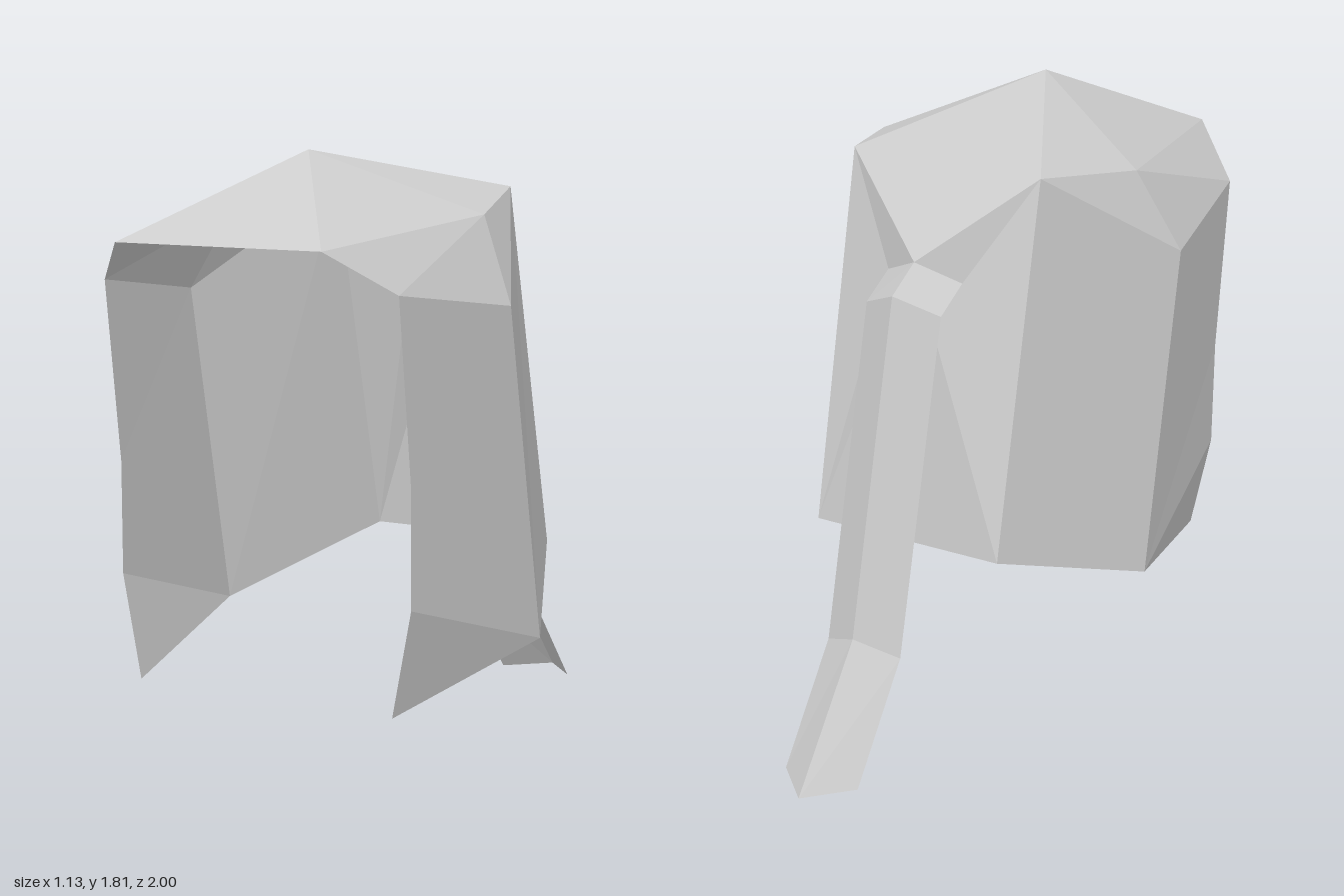
import * as THREE from 'three';

// Flat-faced surface from named points; each face is a string of point names.
function facets(points, faces, material, name) {
  const pos = [];
  for (const face of faces) {
    const p = face.split(' ').map((key) => points[key]);
    for (let i = 1; i < p.length - 1; i++) pos.push(...p[0], ...p[i], ...p[i + 1]);
  }
  const geo = new THREE.BufferGeometry();
  geo.setAttribute('position', new THREE.Float32BufferAttribute(pos, 3));
  geo.computeVertexNormals();
  const mesh = new THREE.Mesh(geo, material);
  mesh.name = name;
  return mesh;
}

// Mirrored faces: sided points get the suffix of the other side, order reversed.
const bothSides = (faces, centre) => faces.flatMap((face) => {
  const keys = face.split(' ');
  const side = (s) => keys.map((k) => (centre.includes(k) ? k : k + s));
  return [side('L').join(' '), side('R').reverse().join(' ')];
});

export function createModel() {
  const hair = new THREE.MeshStandardMaterial({ color: 0xcccccc, side: THREE.DoubleSide, flatShading: true });
  hair.name = 'hair grey';

  // Points on the centre line
  const pts = {
    crown: [0, 1.813, 0.5],
    knot: [0, 1.44, -0.313],
    knotBack: [0, 1.376, -0.438],
    bend: [0, 0.376, -0.688],
    tip: [0, 0, -1],
  };
  const centre = Object.keys(pts);

  // Points mirrored left and right
  const sided = {
    fringe: [0.313, 1.565, 1],
    temple: [0.5, 1.44, 0.813],
    upper: [0.438, 1.628, 0.25],
    ear: [0.563, 1.376, 0.313],
    back: [0.313, 1.69, -0.125],
    nape: [0.313, 0.565, -0.375],
    hem: [0.563, 0.376, 0.125],
    lock: [0.5, 0.9, 0.75],
    lockLow: [0.5, 0.565, 0.75],
    lockTip: [0.438, 0.253, 0.75],
    knot2: [0.125, 1.376, -0.25],
    tailTop: [0.125, 1.315, -0.375],
    tailBend: [0.125, 0.315, -0.625],
    tailTip: [0.125, 0, -0.875],
  };
  for (const [key, [x, y, z]] of Object.entries(sided)) {
    pts[key + 'L'] = [x, y, z];
    pts[key + 'R'] = [-x, y, z];
  }
  pts.fringeL[0] = 0.375; // the fringe sweeps slightly to its left

  const build = (name, faces, middle = []) =>
    facets(pts, [...bothSides(faces, centre), ...middle], hair, name);

  const model = new THREE.Group();
  model.name = 'hairstyle';
  model.add(
    // Faceted cap with the overhanging fringe
    build('crownAndFringe', [
      'crown upper back', 'crown fringe upper', 'fringe temple upper',
      'temple ear upper', 'upper ear back',
    ], ['crown fringeR fringeL', 'crown backL backR']),
    // Long locks that frame the face
    build('sideLocks', [
      'ear hem back', 'hem nape back', 'temple lock ear',
      'lock hem ear', 'lock lockLow hem', 'lockLow lockTip hem',
    ]),
    // Back panel gathered up into the knot
    build('backPanel', [
      'back nape knot2', 'back knot2 knot', 'knot2 nape knot',
    ], ['backL knot backR', 'knot napeL napeR']),
    // Creased strip hanging from the knot
    build('ponytail', [
      'knot knot2 tailTop knotBack', 'knotBack tailTop tailBend bend',
      'bend tailBend tailTip tip',
    ]),
  );
  return model;
}
